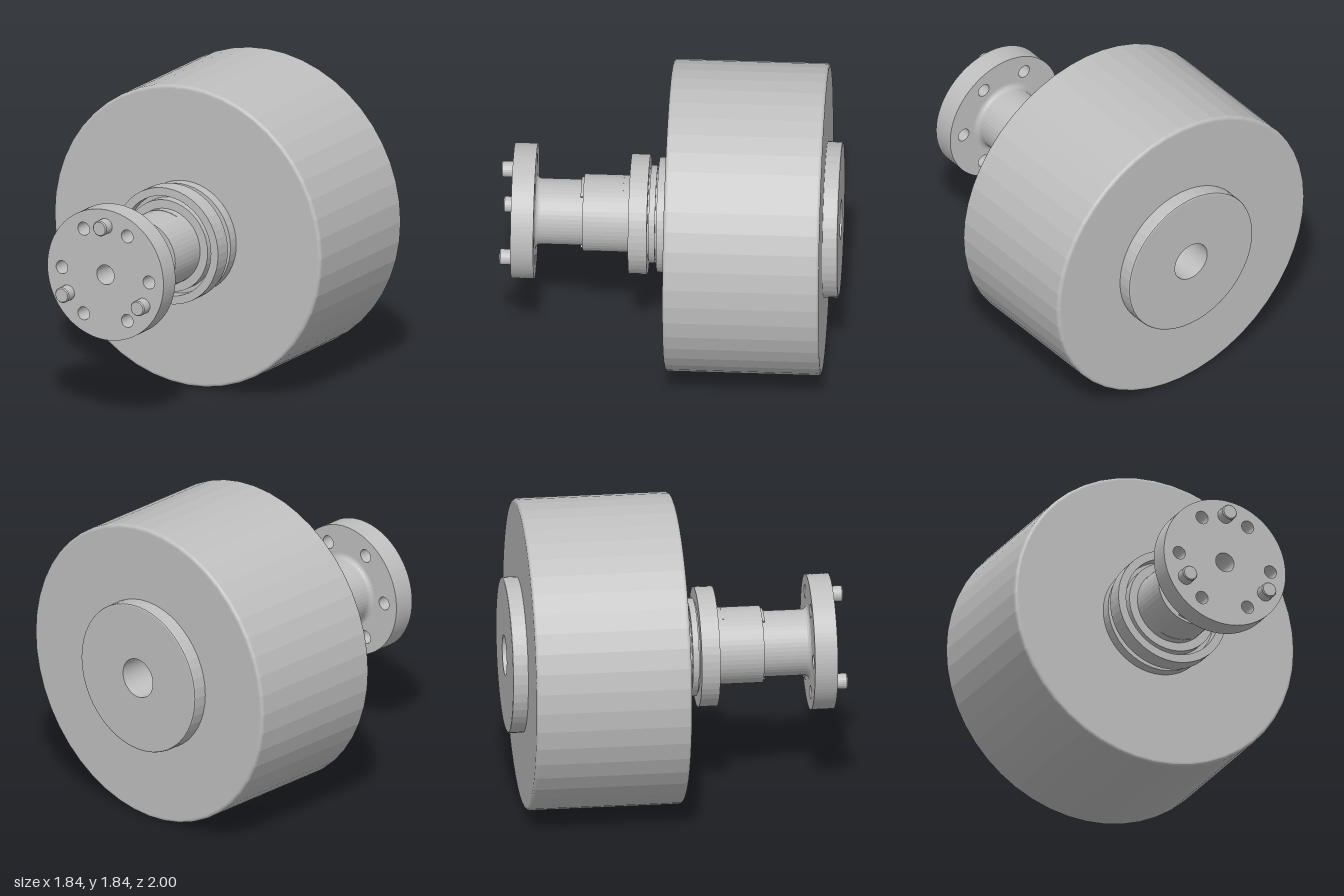
import * as THREE from 'three';

const CY = 0.92; // height of the axle

export function createModel() {
  const model = new THREE.Group();
  const metal = new THREE.MeshStandardMaterial({ color: 0xbfbfbf });
  metal.name = 'grey metal';
  metal.flatShading = true;

  function add(name, geometry) {
    const mesh = new THREE.Mesh(geometry, metal);
    mesh.name = name;
    model.add(mesh);
    return mesh;
  }

  // Closed [radius, z] section, outer side from back to front, turned about the axle
  function turned(name, section, segments = 48) {
    const points = [...section, section[0]].map(([r, z]) => new THREE.Vector2(r, z));
    const geometry = new THREE.LatheGeometry(points, segments);
    geometry.rotateX(Math.PI / 2).translate(0, CY, 0);
    return add(name, geometry);
  }

  // Plain ring between two depths
  const ring = (name, inner, outer, back, front) =>
    turned(name, [[inner, back], [outer, back], [outer, front], [inner, front]]);

  // Quarter-round points about a centre
  const round = (r, z, radius, from, to, steps = 4) =>
    Array.from({ length: steps + 1 }, (_, i) => {
      const a = from + (to - from) * i / steps;
      return [r + radius * Math.cos(a), z + radius * Math.sin(a)];
    });
  const Q = Math.PI / 2;

  // Large drum with softened rims and a stepped bore
  turned('drum', [
    [0.12, -0.91],
    ...round(0.9, -0.89, 0.02, -Q, 0),
    ...round(0.9, -0.01, 0.02, 0, Q),
    [0.06, 0.01], [0.06, -0.4], [0.12, -0.4],
  ]);

  // Raised hub on the back
  turned('rearHub', [
    [0.12, -1], ...round(0.45, -0.99, 0.01, -Q, 0, 2), [0.46, -0.9], [0.12, -0.9],
  ]);

  // Bearing stack against the drum
  ring('bearingSeat', 0.06, 0.34, 0, 0.075);
  ring('spacerCore', 0.06, 0.27, 0.07, 0.14);
  ring('spacer', 0.2, 0.29, 0.085, 0.122);

  // Collar with a narrow annular groove in its front face
  turned('collar', [
    [0.06, 0.13], [0.355, 0.13], [0.355, 0.24], [0.305, 0.24],
    [0.305, 0.17], [0.28, 0.17], [0.28, 0.235], [0.06, 0.235],
  ]);

  // Stepped shaft with a fillet into the flange
  turned('shaft', [
    [0.06, 0.23], [0.228, 0.23], [0.228, 0.515], [0.195, 0.515],
    ...round(0.225, 0.765, 0.03, 2 * Q, Q), [0.06, 0.795],
  ]);

  // Short key arcs on the top and bottom of the shaft
  function keyArc(name, inner, outer, back, front, halfAngle, side) {
    const shape = new THREE.Shape();
    const mid = side * Q;
    shape.absarc(0, 0, outer, mid - halfAngle, mid + halfAngle, false);
    shape.absarc(0, 0, inner, mid + halfAngle, mid - halfAngle, true);
    const geometry = new THREE.ExtrudeGeometry(shape, {
      depth: front - back, bevelEnabled: false, curveSegments: 8,
    });
    add(name, geometry.translate(0, CY, back));
  }
  for (const side of [1, -1]) {
    keyArc('shaftMark', 0.22, 0.23, 0.28, 0.288, 0.43, side);
    keyArc('shoulderKey', 0.18, 0.212, 0.51, 0.53, 0.48, side);
  }

  // Front flange with a bore and six bolt holes
  const plate = new THREE.Shape();
  plate.absarc(0, 0, 0.4, 0, Math.PI * 2, false);
  const hole = (x, y, r) => {
    const path = new THREE.Path();
    path.absarc(x, y, r, 0, Math.PI * 2, true);
    plate.holes.push(path);
  };
  hole(0, 0, 0.06);
  for (let i = 0; i < 6; i++) {
    const a = i * Math.PI / 3;
    hole(0.3 * Math.cos(a), 0.3 * Math.sin(a), 0.04);
  }
  const flange = new THREE.ExtrudeGeometry(plate, {
    depth: 0.135, bevelEnabled: false, curveSegments: 48,
  });
  add('flange', flange.translate(0, CY, 0.795));

  // Three drive pins with chamfered tips
  const pinProfile = [[0.047, 0.92], [0.047, 0.993], [0.041, 1], [0, 1]]
    .map(([r, z]) => new THREE.Vector2(r, z));
  for (let i = 0; i < 3; i++) {
    const a = Q + i * Math.PI * 2 / 3;
    const pin = new THREE.LatheGeometry(pinProfile, 24).rotateX(Q);
    add('drivePin', pin.translate(0.3 * Math.cos(a), CY + 0.3 * Math.sin(a), 0));
  }

  return model;
}
